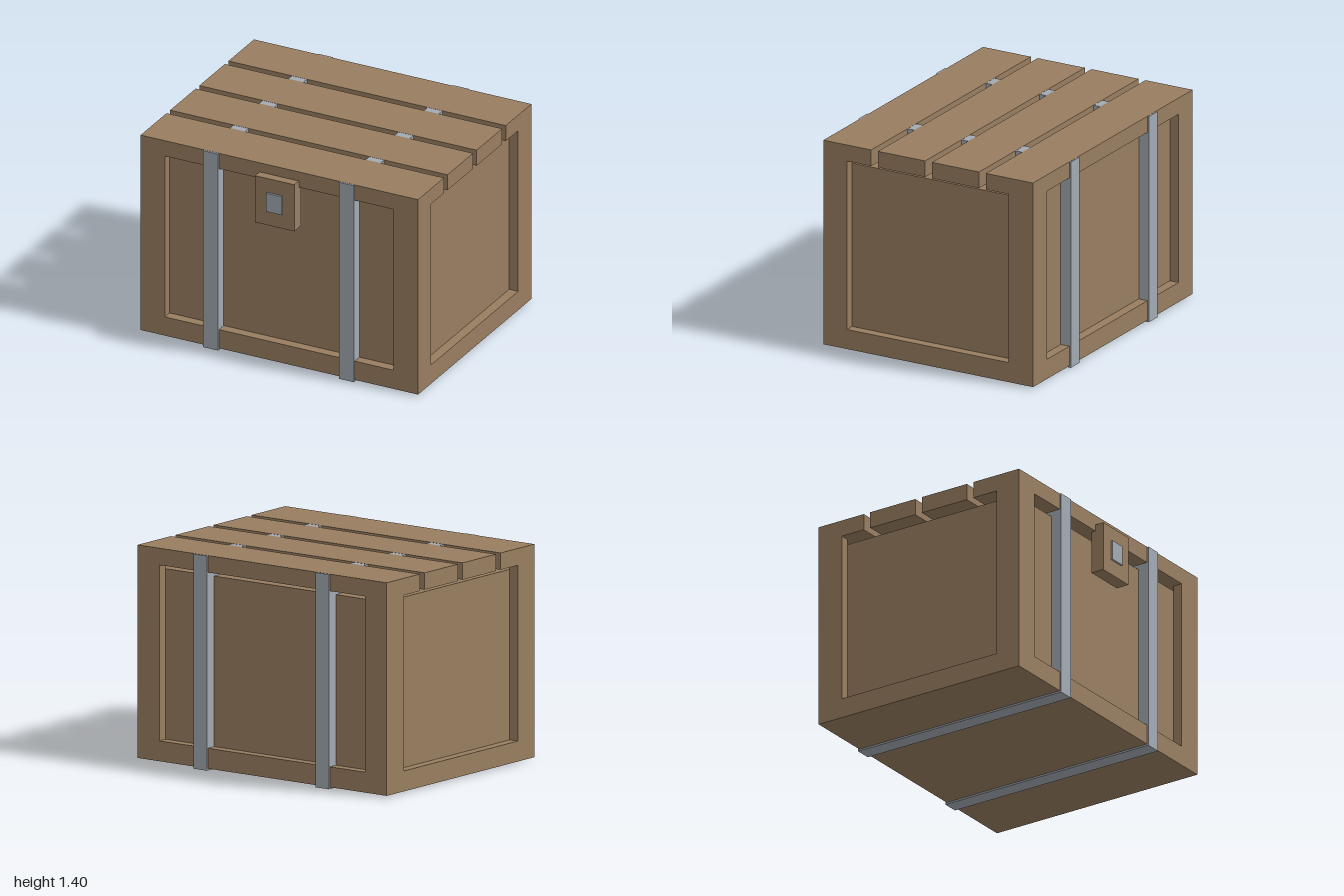
import * as THREE from 'three';

export function createModel() {
  const model = new THREE.Group();
  model.name = 'chest';
  const wood = new THREE.MeshStandardMaterial({ color: 0x987e60 });
  wood.name = 'wood';
  const metal = new THREE.MeshStandardMaterial({ color: 0xa3aab3 });
  metal.name = 'metal';

  // Box given by its limits on each axis
  const box = (name, material, [x0, x1], [y0, y1], [z0, z1]) => {
    const mesh = new THREE.Mesh(new THREE.BoxGeometry(x1 - x0, y1 - y0, z1 - z0), material);
    mesh.position.set((x0 + x1) / 2, (y0 + y1) / 2, (z0 + z1) / 2);
    mesh.name = name;
    model.add(mesh);
  };

  const BASE = 0.012, SILL = 0.145, LID = 1.29, TOP = 1.4;
  const FRONT = 0.745, BACK = -0.81, T = 0.065;

  // U-shaped frame: two posts and a sill, outer limits a..d and opening b..c
  const frame = (name, a, b, c, d) => {
    const shape = new THREE.Shape([
      [a, BASE], [d, BASE], [d, LID], [c, LID], [c, SILL], [b, SILL], [b, LID], [a, LID],
    ].map(([x, y]) => new THREE.Vector2(x, y)));
    const geometry = new THREE.ExtrudeGeometry(shape, { depth: T, bevelEnabled: false });
    const mesh = new THREE.Mesh(geometry, wood);
    mesh.name = name;
    model.add(mesh);
    return mesh;
  };

  // Recessed inner box
  box('innerBox', wood, [-1 + T, 1 - T], [BASE, 1.256], [BACK + T, FRONT - T]);

  // Frames around the four sides
  frame('frontFrame', -1, -0.825, 0.825, 1).position.z = FRONT - T;
  frame('backFrame', -1, -0.825, 0.825, 1).position.z = BACK;
  for (const [name, x] of [['leftFrame', 1 - T], ['rightFrame', -1]]) {
    const side = frame(name, T - FRONT, -0.57, 0.63, -BACK - T);
    side.rotation.y = Math.PI / 2;
    side.position.x = x;
  }

  // Lid planks with open gaps between them
  [[0.39, FRONT], [-0.01, 0.34], [-0.41, -0.06], [BACK, -0.46]].forEach((z, i) =>
    box('lidPlank' + (i + 1), wood, [-1, 1], [LID, TOP], z));

  // Metal straps running through the chest, just under the plank surface
  for (const [name, s] of [['leftStrap', 1], ['rightStrap', -1]]) {
    box(name, metal, [s * 0.489 - 0.054, s * 0.489 + 0.054], [0, TOP - 0.001], [-0.82, 0.756]);
  }

  // Latch plate and its button
  box('latch', wood, [-0.143, 0.14], [1.003, 1.335], [FRONT - 0.03, 0.806]);
  box('latchButton', metal, [-0.058, 0.055], [1.105, 1.236], [0.78, 0.82]);

  return model;
}
